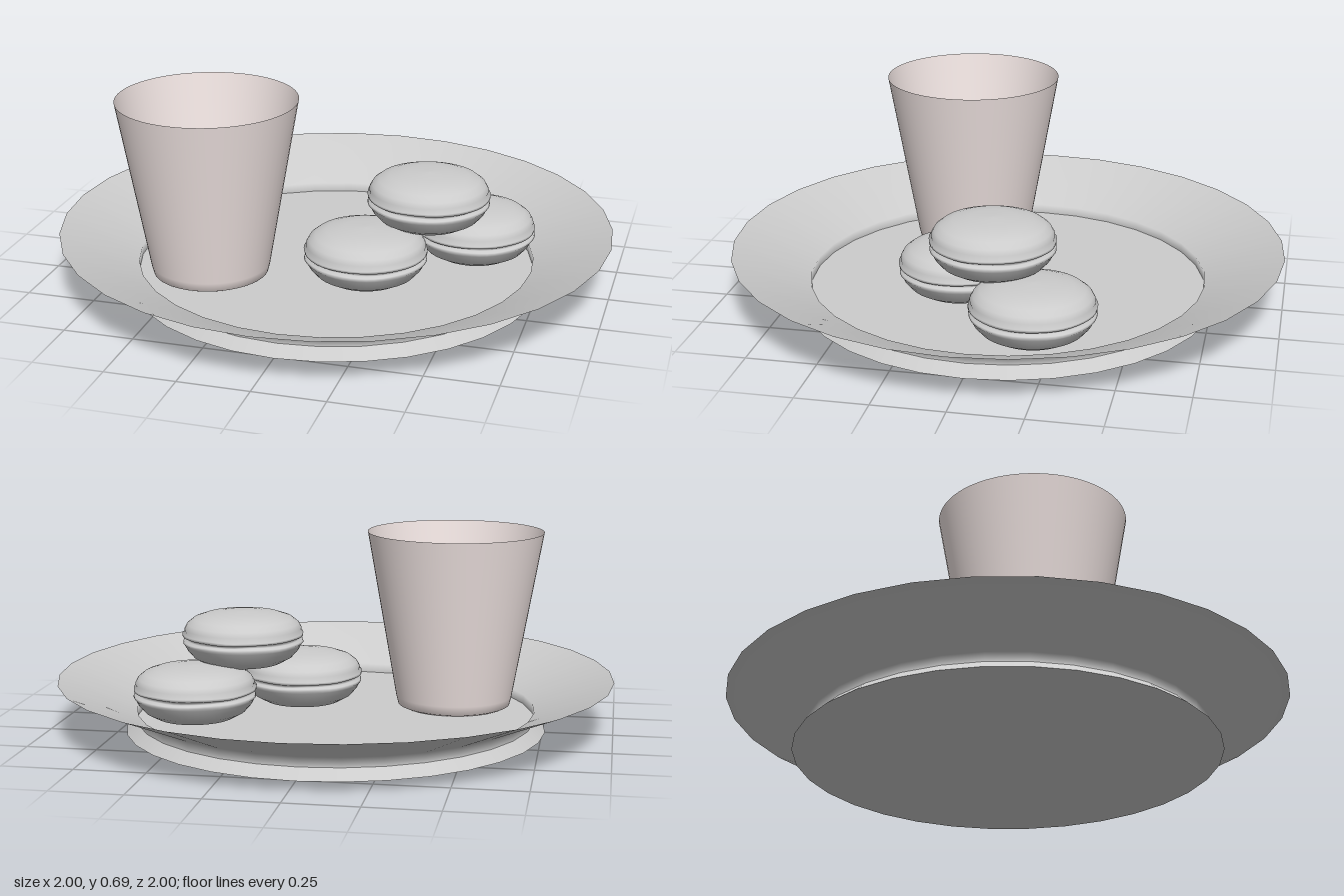
import * as THREE from 'three';

const grey = new THREE.MeshStandardMaterial({ color: 0xcccccc, side: THREE.DoubleSide });
const porcelain = new THREE.MeshStandardMaterial({ color: 0xf0e4e2, side: THREE.DoubleSide });

// Revolve a list of [radius, height] pairs about the y axis.
function lathe(name, profile, segments, material) {
  const points = profile.map(([r, y]) => new THREE.Vector2(r, y));
  const mesh = new THREE.Mesh(new THREE.LatheGeometry(points, segments), material);
  mesh.name = name;
  return mesh;
}

function createPlate() {
  const plate = new THREE.Group();
  plate.name = 'plate';
  plate.add(
    lathe('plateBase', [[0, 0], [0.76, 0]], 32, grey),
    lathe('plateFoot', [[0.76, 0], [0.72, 0.036]], 32, grey),
    lathe('plateFloor', [[0.72, 0.036], [0, 0.036]], 32, grey),
    lathe('plateRim', [[0.72, 0.036], [0.72, 0.07], [1, 0.19]], 32, grey),
  );
  return plate;
}

// Two domed shells with uneven ruffled edges and a thin filling between.
function createMacaron(name, x, y, z, turn) {
  const profile = [
    [0, 0], [0.09, 0.003], [0.14, 0.014], [0.18, 0.036], [0.203, 0.062], [0.212, 0.08],
    [0.219, 0.088], [0.217, 0.096], [0.205, 0.101], [0.205, 0.109], [0.219, 0.113], [0.22, 0.122],
    [0.212, 0.128], [0.213, 0.14], [0.203, 0.158], [0.18, 0.176], [0.14, 0.19], [0.08, 0.199], [0, 0.202],
  ];
  const mesh = lathe(name, profile, 48, grey);

  // Ripple the ruffles with a few whole-number waves so the seam closes.
  const pos = mesh.geometry.attributes.position;
  for (let i = 0; i < pos.count; i++) {
    const row = i % profile.length;
    if (row < 6 || row > 12) continue;
    const a = Math.atan2(pos.getZ(i), pos.getX(i));
    const wave = Math.sin(3 * a + row) + 0.6 * Math.sin(7 * a) + 0.4 * Math.sin(11 * a + 2 * row);
    const scale = 1 + 0.006 * wave;
    pos.setXYZ(i, pos.getX(i) * scale, pos.getY(i) + 0.0015 * wave, pos.getZ(i) * scale);
  }
  mesh.position.set(x, y, z);
  mesh.rotation.y = turn;
  return mesh;
}

export function createModel() {
  const model = new THREE.Group();
  model.name = 'plateWithCupAndMacarons';
  model.add(createPlate());

  // Open tapered cup standing on the plate floor
  const cup = lathe('cup', [[0, 0], [0.19, 0], [0.207, 0.008], [0.215, 0.04], [0.323, 0.652]], 64, porcelain);
  cup.position.set(-0.41, 0.038, 0.215);
  model.add(cup);

  // Two macarons side by side with a third resting on top
  model.add(
    createMacaron('leftMacaron', 0.48, 0.04, -0.18, 0.4),
    createMacaron('rightMacaron', 0.15, 0.04, 0.145, 2.1),
    createMacaron('topMacaron', 0.34, 0.21, -0.015, 4),
  );
  return model;
}
